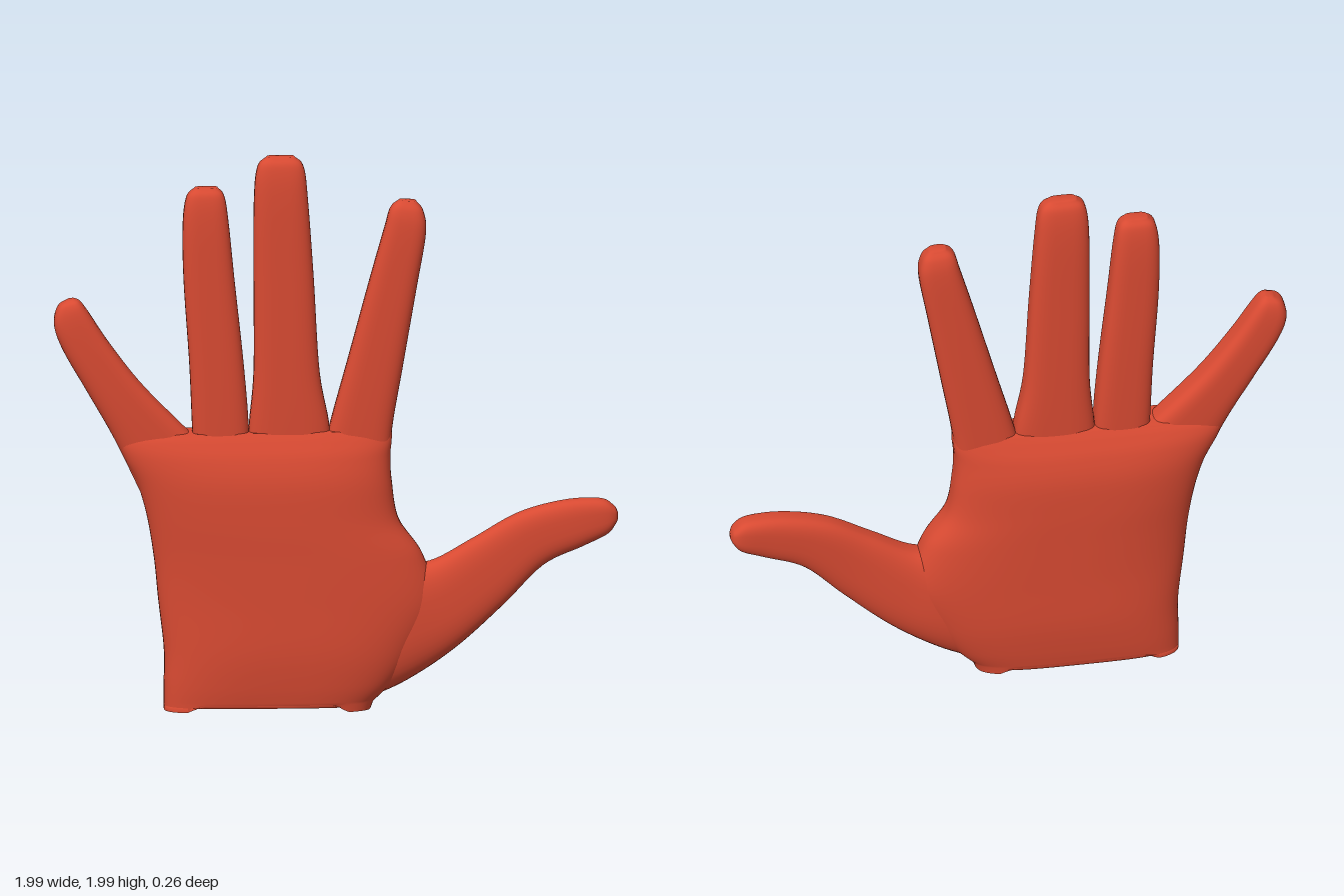
import * as THREE from 'three';

const material = new THREE.MeshStandardMaterial({ color: 0xd84a32, side: THREE.DoubleSide });

// Lofts a smooth skin through sections [leftX, leftY, rightX, rightY, halfDepth, squareness, centreZ].
// Left and right are the two edges of the part as seen along its direction of growth.
function loft(name, sections, { steps = 40, sides = 40, capEnd = true, reshape } = {}) {
  const spline = (pick) => new THREE.CatmullRomCurve3(
    sections.map((s) => new THREE.Vector3(...pick(s))), false, 'catmullrom', 0.5);
  const left = spline((s) => [s[0], s[1], s[6] ?? 0]);
  const right = spline((s) => [s[2], s[3], s[6] ?? 0]);
  const girth = spline((s) => [s[4], s[5] ?? 3, 0]);
  const bend = (v, n) => Math.sign(v) * Math.abs(v) ** (2 / n);
  const positions = [], index = [];

  for (let i = 0; i <= steps; i++) {
    const t = i / steps;
    const l = left.getPoint(t), r = right.getPoint(t), g = girth.getPoint(t);
    const centre = l.clone().add(r).multiplyScalar(0.5);
    const half = r.clone().sub(l).multiplyScalar(0.5);
    for (let j = 0; j < sides; j++) {
      const a = (j / sides) * Math.PI * 2;
      const u = bend(Math.cos(a), g.y);
      const p = centre.clone().addScaledVector(half, u);
      p.z += g.x * bend(Math.sin(a), g.y);
      if (reshape) reshape(p, t, u);
      positions.push(p.x, p.y, p.z);
      if (i < steps) {
        const k = (j + 1) % sides, b = i * sides, c = b + sides;
        index.push(b + j, c + j, b + k, b + k, c + j, c + k);
      }
    }
    if (i === steps && capEnd) {
      const tip = positions.length / 3;
      positions.push(centre.x, centre.y, centre.z);
      for (let j = 0; j < sides; j++) index.push(i * sides + j, tip, i * sides + (j + 1) % sides);
    }
  }
  const geometry = new THREE.BufferGeometry();
  geometry.setAttribute('position', new THREE.Float32BufferAttribute(positions, 3));
  geometry.setIndex(index);
  geometry.computeVertexNormals();
  const mesh = new THREE.Mesh(geometry, material);
  mesh.name = name;
  return mesh;
}

// The wrist edge dips at both sides and is level in the middle.
function dipWrist(p, t, u) {
  if (t === 0) p.y = 0.03 - 0.028 * THREE.MathUtils.smoothstep(Math.abs(u), 0.62, 0.8);
}

export function createModel() {
  const hand = new THREE.Group();
  hand.name = 'hand';

  // Palm, from the wrist up to the knuckles, including the web of the thumb
  hand.add(loft('palm', [
    [-0.61, 0.02, 0.12, 0.02, 0.108, 3.5],
    [-0.61, 0.10, 0.20, 0.10, 0.12, 3.2],
    [-0.61, 0.22, 0.28, 0.22, 0.13, 2.9],
    [-0.63, 0.40, 0.35, 0.38, 0.13, 2.7],
    [-0.645, 0.55, 0.305, 0.55, 0.13, 2.7],
    [-0.67, 0.70, 0.22, 0.68, 0.13, 2.8],
    [-0.705, 0.82, 0.195, 0.82, 0.125, 2.9],
    [-0.75, 0.91, 0.19, 0.91, 0.105, 3.2],
    [-0.77, 0.97, 0.195, 0.97, 0.078, 4],
    [-0.76, 1.0, 0.195, 1.01, 0.058, 4.5],
  ], { steps: 72, sides: 72, reshape: dipWrist }));

  // Shallow recess closing the wrist
  hand.add(loft('wristEnd', [
    [-0.61, 0.02, 0.12, 0.02, 0.108, 3.5],
    [-0.5, 0.045, 0.01, 0.045, 0.05, 3.5],
  ], { steps: 6, sides: 72, reshape: dipWrist }));

  // Fingers, each from inside the palm to its rounded tip
  const fingers = {
    littleFinger: [
      [-0.69, 0.78, -0.36, 0.84, 0.06],
      [-0.785, 0.98, -0.52, 1.0, 0.062],
      [-0.88, 1.15, -0.685, 1.17, 0.062],
      [-0.965, 1.3, -0.8, 1.32, 0.06],
      [-0.997, 1.39, -0.875, 1.435, 0.055],
      [-0.985, 1.455, -0.905, 1.475, 0.042],
      [-0.95, 1.483, -0.925, 1.486, 0.018],
    ],
    ringFinger: [
      [-0.50, 0.85, -0.31, 0.85, 0.06],
      [-0.51, 1.02, -0.31, 1.02, 0.062],
      [-0.52, 1.25, -0.328, 1.25, 0.062],
      [-0.54, 1.55, -0.36, 1.55, 0.06],
      [-0.543, 1.75, -0.38, 1.75, 0.056],
      [-0.53, 1.85, -0.395, 1.85, 0.044],
      [-0.50, 1.885, -0.42, 1.885, 0.022],
    ],
    middleFinger: [
      [-0.32, 0.85, -0.02, 0.85, 0.06],
      [-0.31, 1.02, -0.025, 1.02, 0.062],
      [-0.293, 1.22, -0.06, 1.22, 0.062],
      [-0.293, 1.55, -0.08, 1.55, 0.06],
      [-0.292, 1.83, -0.1, 1.83, 0.057],
      [-0.28, 1.955, -0.115, 1.955, 0.044],
      [-0.245, 1.996, -0.15, 1.996, 0.02],
    ],
    indexFinger: [
      [-0.06, 0.86, 0.19, 0.84, 0.06],
      [-0.025, 1.02, 0.195, 1.0, 0.062],
      [0.04, 1.26, 0.235, 1.24, 0.062],
      [0.115, 1.54, 0.283, 1.52, 0.06],
      [0.168, 1.73, 0.315, 1.71, 0.056],
      [0.19, 1.805, 0.308, 1.79, 0.044],
      [0.222, 1.836, 0.28, 1.832, 0.02],
    ],
  };
  for (const [name, sections] of Object.entries(fingers)) {
    hand.add(loft(name, sections.map((s) => [...s, 3.4])));
  }

  // Thumb, growing sideways out of the palm
  hand.add(loft('thumb', [
    [-0.02, 0.5, 0.10, 0.03, 0.095, 2.6],
    [0.2, 0.52, 0.25, 0.1, 0.09, 2.6],
    [0.33, 0.525, 0.42, 0.215, 0.072, 2.8],
    [0.48, 0.605, 0.59, 0.37, 0.06, 3],
    [0.64, 0.695, 0.73, 0.51, 0.055, 3, -0.005],
    [0.8, 0.738, 0.87, 0.575, 0.052, 3, -0.012],
    [0.93, 0.742, 0.955, 0.615, 0.046, 3, -0.02],
    [0.98, 0.715, 0.985, 0.65, 0.034, 3, -0.023],
    [0.995, 0.69, 0.995, 0.67, 0.014, 3, -0.024],
  ], { steps: 56 }));

  return hand;
}
